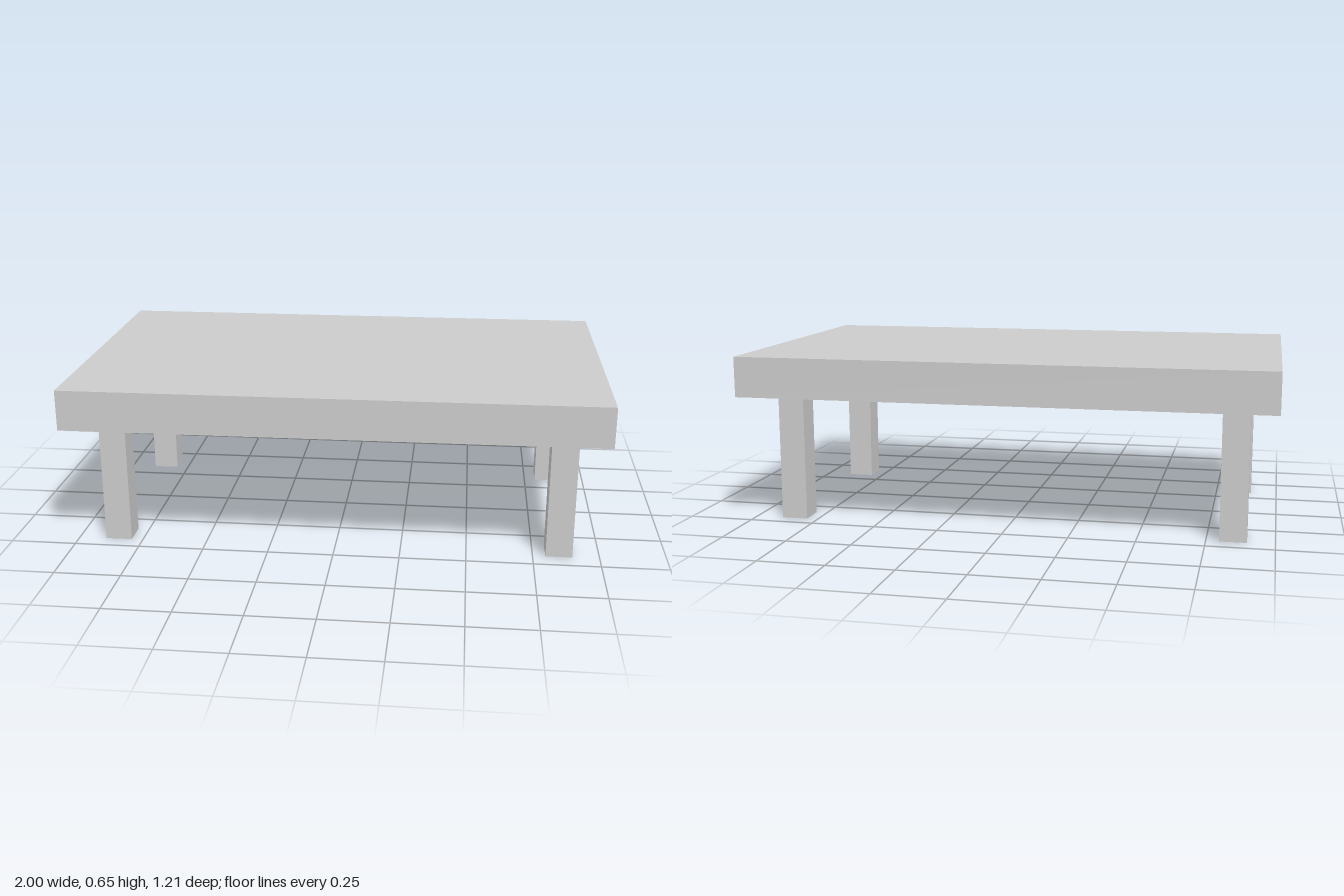
import * as THREE from 'three';

export function createModel() {
  const table = new THREE.Group();
  table.name = 'table';
  const material = new THREE.MeshStandardMaterial({ color: 0xcccccc, flatShading: true });

  // Adds a box standing on the given base height
  const addBox = (name, w, h, d, x, base, z) => {
    const mesh = new THREE.Mesh(new THREE.BoxGeometry(w, h, d), material);
    mesh.name = name;
    mesh.position.set(x, base + h / 2, z);
    table.add(mesh);
  };

  // Thick slab top
  addBox('tableTop', 1.994, 0.152, 1.196, 0, 0.5, 0);

  // Four square legs, inset from the corners
  for (const [side, sx] of [['Left', 1], ['Right', -1]]) {
    for (const [end, sz] of [['front', 1], ['back', -1]]) {
      addBox(`${end}${side}Leg`, 0.1, 0.5, 0.1, sx * 0.846, 0, sz * 0.385);
    }
  }

  // The whole table is turned very slightly
  table.rotation.y = 0.005;

  const model = new THREE.Group();
  model.name = 'lowTable';
  model.add(table);
  return model;
}
